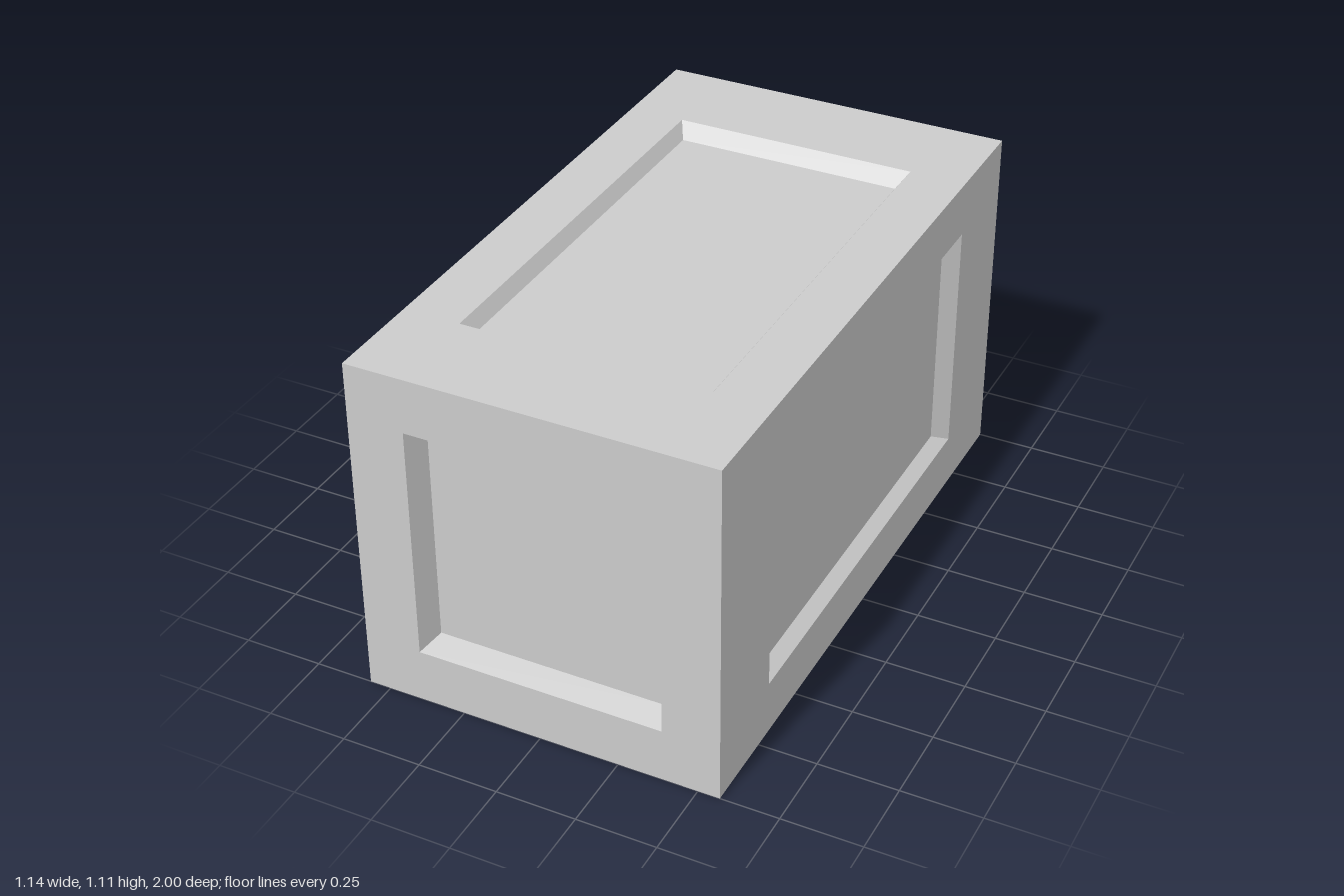
import * as THREE from 'three';

// Half sizes of the crate
const HALF = new THREE.Vector3(0.568, 0.5525, 1);

// Square rings of a face on a cube of half size 1: [half width, distance from centre]
const RINGS = [[1, 1], [0.685, 1], [0.635, 0.925]];
const CORNERS = [[-1, -1], [1, -1], [1, 1], [-1, 1]];

// One +z face: flat frame, sloped recess walls and a sunken panel
function recessedFace() {
  const pos = [];
  const point = (ring, i) => {
    const [s, z] = RINGS[ring];
    const [x, y] = CORNERS[i % 4];
    return [x * s, y * s, z];
  };
  const quad = (a, b, c, d) => pos.push(...a, ...b, ...c, ...a, ...c, ...d);
  const last = RINGS.length - 1;
  for (let r = 0; r < last; r++) {
    for (let i = 0; i < 4; i++) {
      quad(point(r, i), point(r, i + 1), point(r + 1, i + 1), point(r + 1, i));
    }
  }
  quad(point(last, 0), point(last, 1), point(last, 2), point(last, 3));
  const geometry = new THREE.BufferGeometry();
  geometry.setAttribute('position', new THREE.Float32BufferAttribute(pos, 3));
  return geometry;
}

export function createModel() {
  const group = new THREE.Group();
  group.name = 'crate';
  const material = new THREE.MeshStandardMaterial({ color: 0xcccccc, flatShading: true });

  // Turn the same face to all six sides, then stretch to the crate's proportions
  const sides = [
    ['frontPanel', 0, 0],
    ['leftPanel', 0, Math.PI / 2],
    ['backPanel', 0, Math.PI],
    ['rightPanel', 0, -Math.PI / 2],
    ['topPanel', -Math.PI / 2, 0],
    ['bottomPanel', Math.PI / 2, 0],
  ];
  for (const [name, rx, ry] of sides) {
    const geometry = recessedFace().rotateX(rx).rotateY(ry);
    geometry.scale(HALF.x, HALF.y, HALF.z).translate(0, HALF.y, 0);
    geometry.computeVertexNormals();
    const mesh = new THREE.Mesh(geometry, material);
    mesh.name = name;
    group.add(mesh);
  }
  return group;
}
